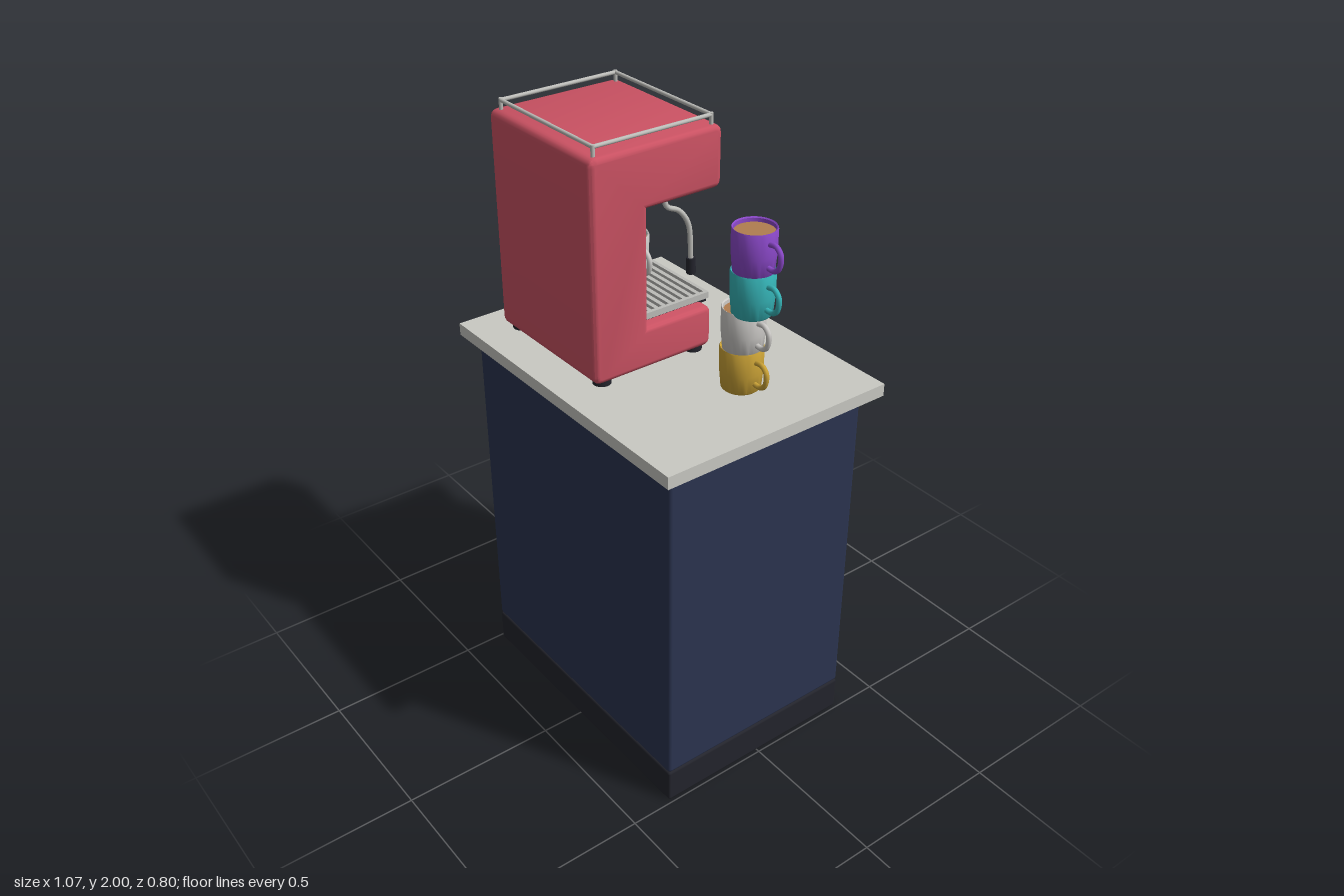
import * as THREE from 'three';
import { toCreasedNormals } from 'three/addons/utils/BufferGeometryUtils.js';
import { RoundedBoxGeometry } from 'three/addons/geometries/RoundedBoxGeometry.js';

const V = (x, y, z) => new THREE.Vector3(x, y, z);

export function createModel() {
  const root = new THREE.Group();
  root.name = 'coffeeStation';
  const mat = (name, color) => {
    const m = new THREE.MeshStandardMaterial({ color });
    m.name = name;
    return m;
  };
  const red = mat('red enamel', 0xcb5263);
  const navy = mat('navy paint', 0x2b3450);
  const black = mat('black', 0x23242c);
  const stone = mat('pale stone', 0xc9c9c3);
  const steel = mat('steel', 0xbcbcb8);
  const white = mat('white ceramic', 0xcac8c5);
  const teal = mat('teal', 0x35b3b6);
  const purple = mat('purple', 0x8a48c8);
  const gold = mat('mustard', 0xc9a136);
  const coffee = mat('coffee', 0xb07d50);

  const add = (name, geo, material, x = 0, y = 0, z = 0, parent = root) => {
    const m = new THREE.Mesh(geo, material);
    m.name = name;
    m.position.set(x, y, z);
    parent.add(m);
    return m;
  };
  // Box given by its lower and upper corners, with optional rounding
  const box = (name, a, b, material, r = 0, parent = root) => {
    const s = a.map((v, i) => b[i] - v);
    const geo = r ? new RoundedBoxGeometry(...s, 2, r) : new THREE.BoxGeometry(...s);
    return add(name, geo, material, ...a.map((v, i) => (v + b[i]) / 2), parent);
  };
  // Straight round bar between two points
  const rod = (name, a, b, r, material, parent = root, r2 = r) => {
    const d = b.clone().sub(a);
    const m = add(name, new THREE.CylinderGeometry(r2, r, d.length(), 20), material,
      ...a.clone().add(b).multiplyScalar(0.5).toArray(), parent);
    m.quaternion.setFromUnitVectors(V(0, 1, 0), d.normalize());
    return m;
  };
  const group = (name) => {
    const g = new THREE.Group();
    g.name = name;
    root.add(g);
    return g;
  };

  // Cabinet, with its doors on the -z side
  const cabinet = group('cabinet');
  box('plinth', [-0.49, 0, -0.345], [0.49, 0.115, 0.36], black, 0.008, cabinet);
  box('cabinetBody', [-0.49, 0.115, -0.345], [0.49, 1.225, 0.36], navy, 0.012, cabinet);
  box('countertop', [-0.535, 1.225, -0.39], [0.535, 1.265, 0.4], stone, 0, cabinet);
  for (const s of [-1, 1]) {
    const x0 = s * 0.006, x1 = s * 0.462;
    box('door', [Math.min(x0, x1), 0.2, -0.364], [Math.max(x0, x1), 1.13, -0.34], navy, 0.006, cabinet);
    rod('handleBar', V(s * 0.05, 0.685, -0.391), V(s * 0.05, 0.905, -0.391), 0.009, steel, cabinet);
    for (const y of [0.71, 0.88])
      rod('handlePost', V(s * 0.05, y, -0.36), V(s * 0.05, y, -0.391), 0.006, steel, cabinet);
  }

  // Machine body: C-shaped side profile (z, y) extruded across x
  const machine = group('espressoMachine');
  const profile = [
    [0.3, 1.28, 0.026], [0.3, 1.966, 0.026], [-0.152, 1.966, 0.026], [-0.152, 1.78, 0.026],
    [0.11, 1.78, 0], [0.11, 1.412, 0], [-0.122, 1.412, 0.026], [-0.122, 1.28, 0.026],
  ];
  const shape = new THREE.Shape();
  profile.forEach(([z, y, r], i) => {
    const p = new THREE.Vector2(z, y);
    const toward = (q) => new THREE.Vector2(q[0], q[1]).sub(p).setLength(r).add(p);
    const a = r ? toward(profile[(i + 7) % 8]) : p;
    if (i) shape.lineTo(a.x, a.y); else shape.moveTo(a.x, a.y);
    if (r) {
      const b = toward(profile[(i + 1) % 8]);
      shape.quadraticCurveTo(z, y, b.x, b.y);
    }
  });
  shape.closePath();
  const bevel = 0.016, width = 0.503;
  const bodyGeo = new THREE.ExtrudeGeometry(shape, {
    depth: width - 2 * bevel, bevelEnabled: true, bevelThickness: bevel, bevelSize: bevel,
    bevelOffset: -bevel, bevelSegments: 3, curveSegments: 5,
  });
  bodyGeo.translate(0, 0, bevel - width / 2).rotateY(-Math.PI / 2);
  add('machineBody', toCreasedNormals(bodyGeo, 0.6), red, -0.186, 0, 0, machine);
  for (const x of [-0.4, 0.03]) for (const z of [-0.08, 0.255])
    rod('foot', V(x, 1.264, z), V(x, 1.284, z), 0.028, black, machine);

  // Cup rail on top
  const [rx0, rx1, rz0, rz1] = [-0.41, 0.044, -0.126, 0.274];
  const corners = [[rx0, rz0], [rx1, rz0], [rx1, rz1], [rx0, rz1]];
  corners.forEach(([x, z], i) => {
    const [nx, nz] = corners[(i + 1) % 4];
    rod('railBar', V(x, 1.993, z), V(nx, 1.993, nz), 0.006, steel, machine);
    rod('railPost', V(x, 1.96, z), V(x, 1.999, z), 0.006, steel, machine);
  });

  // Control panel with display and knobs
  box('controlPanel', [-0.4, 1.825, -0.159], [0.03, 1.94, -0.15], steel, 0, machine);
  box('display', [-0.37, 1.842, -0.163], [-0.19, 1.923, -0.157], teal, 0, machine);
  [[-0.144, steel], [-0.086, steel], [-0.03, teal]].forEach(([x, m]) => {
    rod('knobBase', V(x, 1.885, -0.158), V(x, 1.885, -0.161), 0.022, black, machine);
    rod('knob', V(x, 1.885, -0.158), V(x, 1.885, -0.173), 0.018, m, machine);
  });

  // Drip tray: dark well, frame and slats
  box('trayWell', [-0.395, 1.405, -0.135], [0.023, 1.418, 0.105], black, 0, machine);
  for (const z of [-0.135, 0.095])
    box('trayFrame', [-0.4, 1.416, z - 0.006], [0.028, 1.436, z + 0.006], steel, 0, machine);
  for (const x of [-0.394, 0.022])
    box('trayFrame', [x - 0.006, 1.416, -0.135], [x + 0.006, 1.436, 0.095], steel, 0, machine);
  for (let i = 0; i < 8; i++) {
    const z = -0.109 + i * 0.0256;
    box('traySlat', [-0.39, 1.426, z - 0.007], [0.018, 1.436, z + 0.007], steel, 0, machine);
  }

  // Group head and portafilter
  const gx = -0.213, gz = -0.02;
  rod('groupHead', V(gx, 1.735, gz), V(gx, 1.785, gz), 0.055, steel, machine);
  rod('filterBasket', V(gx, 1.69, gz), V(gx, 1.737, gz), 0.04, steel, machine, 0.047);
  rod('spout', V(gx, 1.655, gz), V(gx, 1.695, gz), 0.012, steel, machine);
  rod('portafilterNeck', V(gx, 1.715, gz), V(gx, 1.706, -0.12), 0.009, steel, machine);
  rod('portafilterHandle', V(gx, 1.708, -0.105), V(gx, 1.69, -0.265), 0.014, black, machine);

  // Steam wand
  const wand = new THREE.CatmullRomCurve3([
    V(0.015, 1.79, 0.02), V(0.017, 1.745, 0.008), V(0.022, 1.725, -0.03),
    V(0.028, 1.68, -0.06), V(0.03, 1.56, -0.07),
  ]);
  add('steamWand', new THREE.TubeGeometry(wand, 30, 0.008, 10), steel, 0, 0, 0, machine);
  rod('steamTip', V(0.03, 1.52, -0.071), V(0.03, 1.57, -0.07), 0.014, black, machine);

  // Mugs: lathed wall with inner lip, coffee surface and side handle
  const mugProfile = [[0, 0], [0.054, 0], [0.059, 0.005], [0.064, 0.06], [0.065, 0.132],
    [0.063, 0.136], [0.059, 0.133], [0.057, 0.1], [0, 0.1]].map((p) => new THREE.Vector2(...p));
  const mugGeo = toCreasedNormals(new THREE.LatheGeometry(mugProfile, 32), 0.7);
  const coffeeGeo = new THREE.CircleGeometry(0.059, 32).rotateX(-Math.PI / 2);
  const handleCurve = new THREE.CatmullRomCurve3([
    V(0.058, 0.104, 0), V(0.09, 0.106, 0), V(0.107, 0.09, 0), V(0.109, 0.066, 0),
    V(0.1, 0.043, 0), V(0.082, 0.033, 0), V(0.056, 0.034, 0),
  ]);
  const handleGeo = new THREE.TubeGeometry(handleCurve, 28, 0.008, 10);
  const mug = (name, x, y, z, m) => {
    const g = group(name);
    g.position.set(x, y, z);
    add('mugBody', mugGeo, m, 0, 0, 0, g);
    add('coffee', coffeeGeo, coffee, 0, 0.122, 0, g);
    add('mugHandle', handleGeo, m, 0, 0, 0, g);
  };
  [gold, white, teal, purple].forEach((m, i) =>
    mug('stackedMug', i % 2 ? (i === 1 ? 0.293 : 0.327) : (i ? 0.327 : 0.29), 1.265 + i * 0.1267, -0.052, m));
  mug('servedMug', gx, 1.437, gz, white);

  return root;
}
